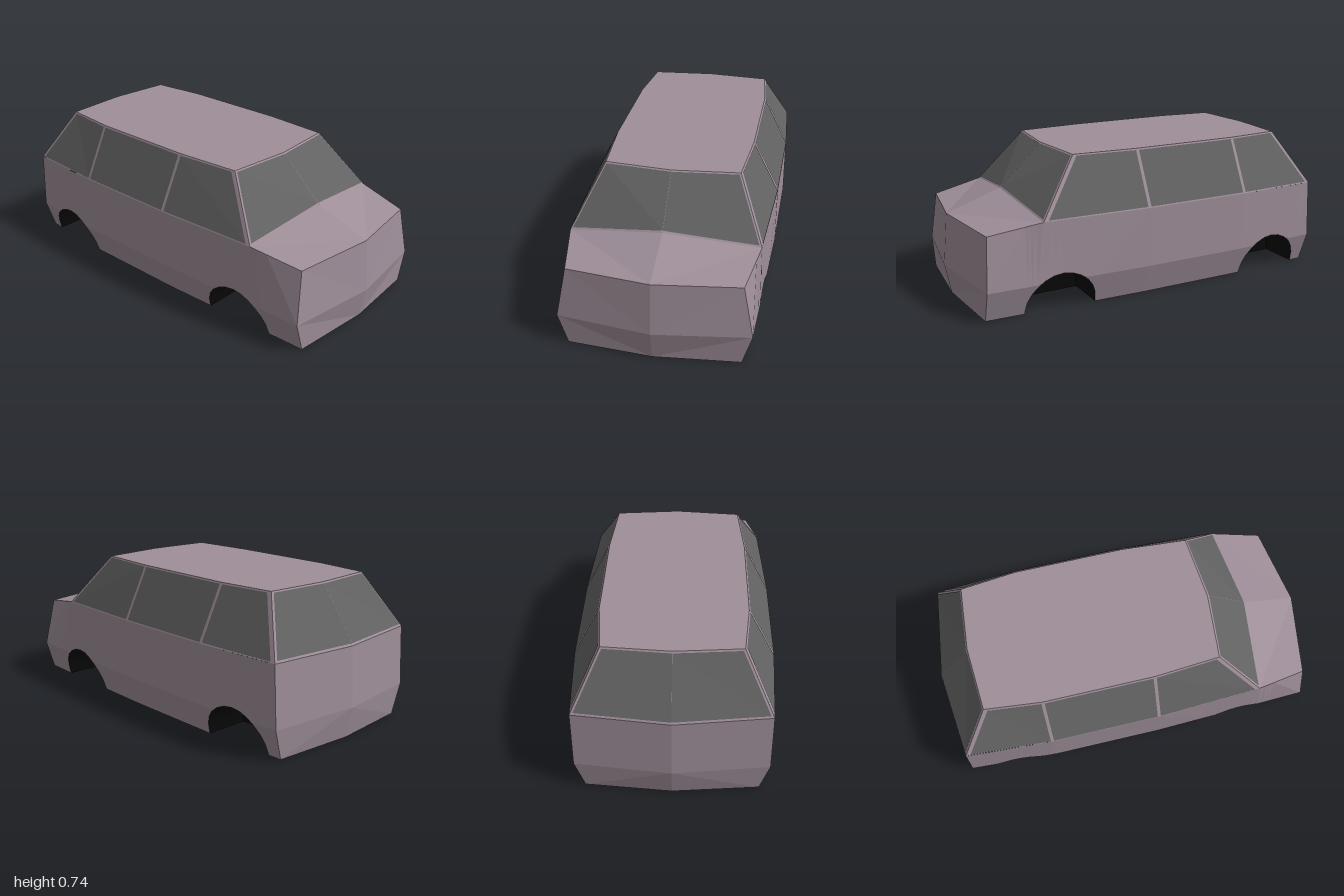
import * as THREE from 'three';

const paint = new THREE.MeshStandardMaterial({ color: 0x9e8e99, flatShading: true });
const glass = new THREE.MeshStandardMaterial({ color: 0x626262, flatShading: true });
const black = new THREE.MeshStandardMaterial({ color: 0x080808, flatShading: true });

const V = (x, y, z) => new THREE.Vector3(x, y, z);
const { lerp, clamp } = THREE.MathUtils;

// Heights and wheel arch layout
const CREASE = 0.155, BELT = 0.46, ROOF = 0.735;
const ARCH_R = 0.185, ARCH_Y = 0.01, WELL_X = 0.22;
const ARCHES = [0.555, -0.68];

// Mesh of faces given for the +x half (counter-clockwise from outside), mirrored to -x
function mirrored(name, material, faces) {
  const pos = [];
  const tri = (a, b, c) => {
    const area = b.clone().sub(a).cross(c.clone().sub(a)).length();
    if (area < 1e-7) return;
    for (const p of [a, b, c]) pos.push(p.x, p.y, p.z);
    for (const p of [a, c, b]) pos.push(-p.x, p.y, p.z);
  };
  for (const f of faces) {
    for (let i = 1; i < f.length - 1; i++) tri(f[0], f[i], f[i + 1]);
  }
  const geometry = new THREE.BufferGeometry();
  geometry.setAttribute('position', new THREE.Float32BufferAttribute(pos, 3));
  geometry.computeVertexNormals();
  const mesh = new THREE.Mesh(geometry, material);
  mesh.name = name;
  return mesh;
}

// Pane lying just above a quad, with margins in units on its left, right, bottom and top
function pane([a, b, c, d], left, right, bottom, top) {
  const along = (p, q, s) => p.clone().lerp(q, s / p.distanceTo(q));
  const a1 = along(a, b, left), b1 = along(b, a, right);
  const c1 = along(c, d, right), d1 = along(d, c, left);
  const n = b.clone().sub(a).cross(d.clone().sub(a)).normalize().multiplyScalar(0.003);
  return [along(a1, d1, bottom), along(b1, c1, bottom), along(c1, b1, top), along(d1, a1, top)]
    .map(p => p.add(n));
}

// Piecewise linear half width over z
const STATIONS = [0.935, 0.645, 0.09, -0.48, -0.945];
const CREASE_W = [0.47, 0.48, 0.497, 0.497, 0.47];
const BELT_W = [0.42, 0.47, 0.497, 0.497, 0.47];
function width(table, z) {
  let i = 0;
  while (i < 3 && z < STATIONS[i + 1]) i++;
  return lerp(table[i], table[i + 1], (STATIONS[i] - z) / (STATIONS[i] - STATIONS[i + 1]));
}

// One upright slice of the body side, starting at height base
function column({ z, base }) {
  const nose = clamp((z - 0.645) / 0.29, 0, 1);
  const tail = z < -0.94 ? 1 : 0;
  const mid = V(width(CREASE_W, z), CREASE, z);
  const top = V(width(BELT_W, z), lerp(BELT, 0.415, nose), z - 0.025 * nose + 0.015 * tail);
  const foot = V(mid.x - 0.047, 0, z + 0.01 * tail);
  const low = base < CREASE
    ? foot.lerp(mid, base / CREASE)
    : mid.clone().lerp(top, (base - CREASE) / (top.y - CREASE));
  return { low, mid: base < CREASE ? mid : low, top, inner: V(WELL_X, base, low.z) };
}

export function createModel() {
  const car = new THREE.Group();
  car.name = 'vanBody';

  // Slices from front to back, following both wheel arches
  const slices = STATIONS
    .filter(z => ARCHES.every(c => Math.abs(z - c) > ARCH_R))
    .map(z => ({ z, base: 0 }));
  for (const c of ARCHES) {
    const arch = [{ z: c + ARCH_R, base: 0 }];
    for (let i = 0; i <= 12; i++) {
      const a = Math.PI * i / 12;
      arch.push({ z: c + ARCH_R * Math.cos(a), base: ARCH_Y + ARCH_R * Math.sin(a) });
    }
    arch.push({ z: c - ARCH_R, base: 0 });
    slices.splice(slices.findIndex(s => s.z < c), 0, ...arch);
  }
  // Slice at the windscreen foot, over the front arch
  const foot = 0.645;
  const k = slices.findIndex(s => s.z < foot);
  const p = slices[k - 1], q = slices[k];
  slices.splice(k, 0, { z: foot, base: lerp(p.base, q.base, (p.z - foot) / (p.z - q.z)) });
  const cols = slices.map(column);

  // Sides, wheel wells and floor
  const sides = [], wells = [], floor = [];
  for (let i = 0; i < cols.length - 1; i++) {
    const f = cols[i], b = cols[i + 1];
    sides.push([f.low, b.low, b.mid, f.mid], [f.mid, b.mid, b.top, f.top]);
    const f0 = V(WELL_X, 0, f.low.z), b0 = V(WELL_X, 0, b.low.z);
    const inWell = f.low.y > 0 || b.low.y > 0;
    (inWell ? wells : floor).push([f.inner, b.inner, b.low, f.low]);
    if (inWell) wells.push([f0, b0, b.inner, f.inner]);
    floor.push([V(0, 0, f.low.z), V(0, 0, b.low.z), b0, f0]);
  }
  const front = cols[0], back = cols[cols.length - 1];
  floor.push([V(0, 0, 0.97), V(0, 0, front.low.z), front.low]);
  floor.push([V(0, 0, back.low.z), V(0, 0, -0.97), back.low]);

  // Nose, bonnet and tail
  const noseTop = V(0, 0.425, 0.975), noseMid = V(0, 0.158, 1);
  const tailTop = V(0, BELT, -0.985), tailMid = V(0, 0.158, -1);
  const cowl = V(0, 0.52, 0.69), cowlCorner = V(0.47, BELT, foot);
  const nose = [
    [V(0, 0, 0.97), front.low, front.mid, noseMid],
    [noseMid, front.mid, front.top, noseTop],
  ];
  const tail = [
    [back.low, V(0, 0, -0.97), tailMid, back.mid],
    [back.mid, tailMid, tailTop, back.top],
  ];
  const bonnet = [[noseTop, front.top, cowlCorner, cowl]];

  // Roof and the frame that carries the windows
  const belt = [cowlCorner, V(0.497, BELT, 0.09), V(0.497, BELT, -0.48), back.top];
  const rim = [V(0.335, ROOF, 0.43), V(0.36, ROOF, 0.09), V(0.36, ROOF, -0.48), V(0.33, ROOF, -0.77)];
  const roofFront = V(0, ROOF, 0.46), roofBack = V(0, ROOF, -0.795);
  const roof = [[roofFront, ...rim, roofBack]];
  const screen = [cowl, cowlCorner, rim[0], roofFront];
  const rear = [belt[3], tailTop, roofBack, rim[3]];
  const bays = [0, 1, 2].map(i => [belt[i], belt[i + 1], rim[i + 1], rim[i]]);
  const margins = [[0.022, 0.008], [0.008, 0.008], [0.008, 0.022]];

  car.add(
    mirrored('sidePanels', paint, sides),
    mirrored('wheelWells', black, wells),
    mirrored('floor', black, floor),
    mirrored('nose', paint, nose),
    mirrored('tail', paint, tail),
    mirrored('bonnet', paint, bonnet),
    mirrored('roof', paint, roof),
    mirrored('windowFrame', paint, [screen, rear, ...bays]),
    mirrored('windscreen', glass, [pane(screen, 0, 0.01, 0.01, 0.01)]),
    mirrored('rearWindow', glass, [pane(rear, 0.012, 0, 0.012, 0.01)]),
    mirrored('sideWindows', glass, bays.map((b, i) => pane(b, ...margins[i], 0.006, 0.01))),
  );
  return car;
}
